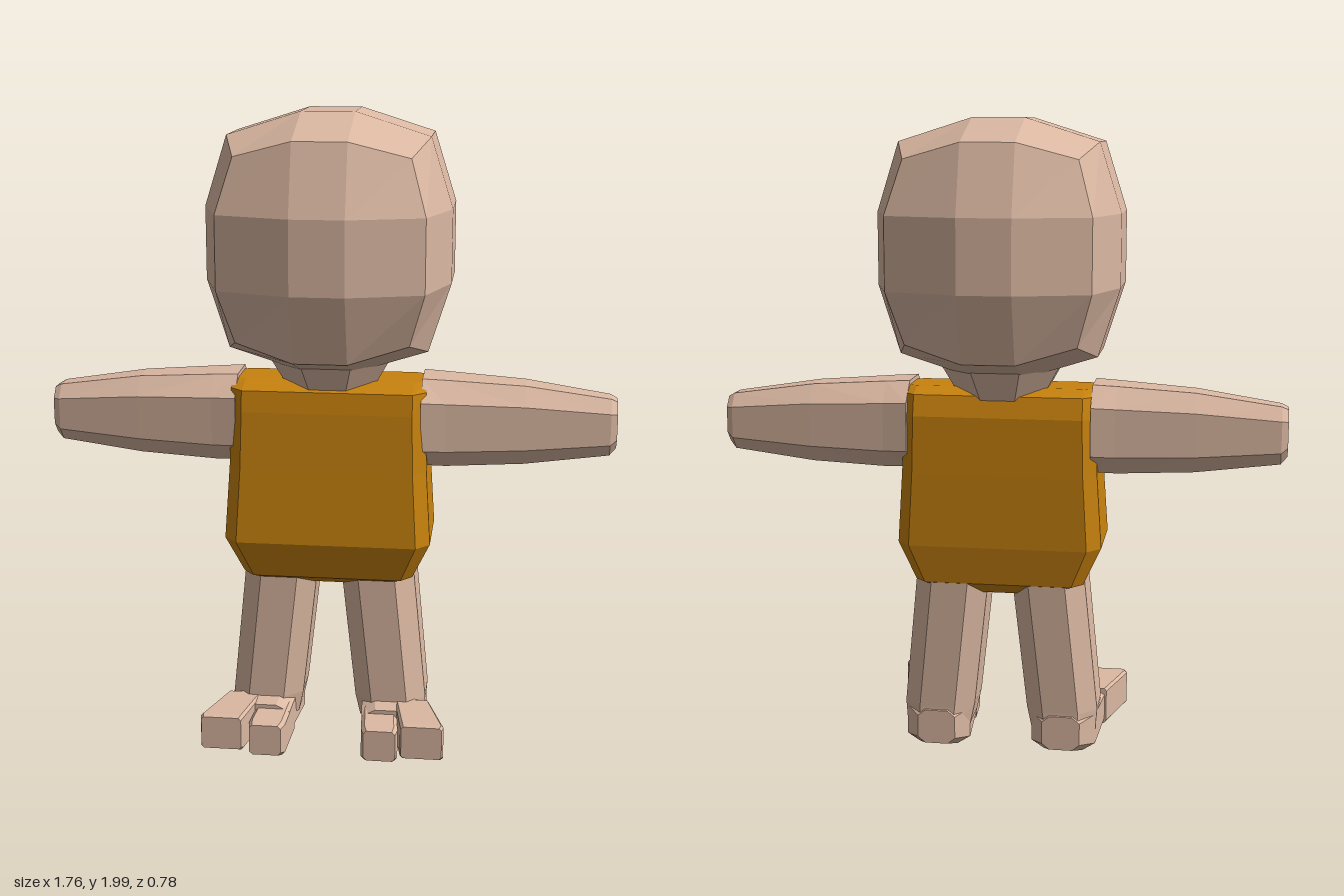
import * as THREE from 'three';

const skin = new THREE.MeshStandardMaterial({ color: 0xdbb8a2, flatShading: true });
const shirt = new THREE.MeshStandardMaterial({ color: 0xc8820e, flatShading: true });

// Lofts chamfered rectangles along an axis. Each ring is [position, u0, u1, v0, v1],
// where (u, v) is (y, z) along x, (z, x) along y and (x, y) along z.
// ku, kv: how much of each side stays straight; side -1 mirrors the part in x.
function loft(axis, rings, ku, kv, side = 1) {
  const place = {
    x: (p, u, v) => [p, u, v],
    y: (p, u, v) => [v, p, u],
    z: (p, u, v) => [u, v, p],
  }[axis];
  const corners = [[1, -kv], [1, kv], [ku, 1], [-ku, 1], [-1, kv], [-1, -kv], [-ku, -1], [ku, -1]];
  const pos = [], index = [];
  const push = (p, u, v) => {
    const [x, y, z] = place(p, u, v);
    pos.push(x * side, y, z);
  };
  const tri = (a, b, c) => (side > 0 ? index.push(a, b, c) : index.push(a, c, b));
  for (const [p, u0, u1, v0, v1] of rings) {
    for (const [a, b] of corners) push(p, (u0 + u1 + a * (u1 - u0)) / 2, (v0 + v1 + b * (v1 - v0)) / 2);
  }
  const n = 8, last = (rings.length - 1) * n;
  for (let r = 0; r < last; r += n) {
    for (let i = 0; i < n; i++) {
      const j = (i + 1) % n;
      tri(r + i, r + j, r + n + j);
      tri(r + i, r + n + j, r + n + i);
    }
  }
  for (let i = 1; i < n - 1; i++) {
    tri(0, i + 1, i);
    tri(last, last + i, last + i + 1);
  }
  const g = new THREE.BufferGeometry();
  g.setAttribute('position', new THREE.Float32BufferAttribute(pos, 3));
  g.setIndex(index);
  const flat = g.toNonIndexed();
  flat.computeVertexNormals();
  return flat;
}

// Cube of 3 x 3 faces per side, rounded by pulling its edges and corners inward
function headGeometry() {
  const g = new THREE.BoxGeometry(2, 2, 2, 3, 3, 3);
  const half = [0.37, 0.39, 0.39], inner = [0.08, 0.11, 0.105];
  const pull = [0, 1, 0.82, 0.695];
  const p = g.attributes.position;
  for (let i = 0; i < p.count; i++) {
    const c = [p.getX(i), p.getY(i), p.getZ(i)];
    const outer = c.filter((v) => Math.abs(v) > 0.9).length;
    const q = c.map((v, k) => Math.sign(v) * (Math.abs(v) > 0.9 ? half[k] * pull[outer] : inner[k]));
    p.setXYZ(i, q[0], q[1] + 1.61, q[2]);
  }
  const flat = g.toNonIndexed();
  flat.computeVertexNormals();
  return flat;
}

export function createModel() {
  const model = new THREE.Group();
  const add = (name, geometry, material = skin, parent = model) => {
    const mesh = new THREE.Mesh(geometry, material);
    mesh.name = name;
    parent.add(mesh);
    return mesh;
  };

  add('head', headGeometry());

  // Neck flares up into the underside of the head
  const neck = add('neck', new THREE.CylinderGeometry(0.2, 0.135, 0.11, 8));
  neck.rotation.y = Math.PI / 8;
  neck.position.y = 1.2;

  add('torso', loft('y', [
    [0.53, -0.08, 0.08, -0.14, 0.14],
    [0.57, -0.13, 0.155, -0.265, 0.265],
    [0.69, -0.145, 0.195, -0.32, 0.32],
    [0.92, -0.145, 0.178, -0.305, 0.305],
    [1.1, -0.143, 0.165, -0.3, 0.3],
    [1.165, -0.125, 0.155, -0.3, 0.3],
    [1.185, -0.07, 0.07, -0.3, 0.3],
  ], 0.72, 0.87), shirt);

  for (const side of [1, -1]) {
    const label = side > 0 ? 'left' : 'right';

    add(label + 'Arm', loft('x', [
      [0.285, 0.925, 1.198, -0.13, 0.142],
      [0.36, 0.922, 1.194, -0.12, 0.13],
      [0.6, 0.932, 1.178, -0.1, 0.1],
      [0.86, 0.962, 1.14, -0.072, 0.066],
      [0.88, 0.985, 1.13, -0.06, 0.055],
    ], 0.55, 0.5, side));

    const leg = new THREE.Group();
    leg.name = label + 'Leg';
    model.add(leg);

    add('shin', loft('y', [
      [0.08, -0.115, 0.135, 0.1, 0.305],
      [0.15, -0.115, 0.14, 0.085, 0.31],
      [0.6, -0.13, 0.135, 0.035, 0.265],
    ], 0.55, 0.5, side), skin, leg);

    add('foot', loft('z', [
      [-0.12, 0.14, 0.26, 0.03, 0.14],
      [-0.06, 0.1, 0.305, 0.01, 0.16],
      [0.13, 0.11, 0.32, 0.03, 0.155],
      [0.19, 0.115, 0.335, 0.02, 0.145],
    ], 0.6, 0.65, side), skin, leg);

    // Two blunt toes that spread outward, the outer one longer
    add('outerToe', loft('z', [
      [0.12, 0.215, 0.325, 0.035, 0.155],
      [0.3, 0.245, 0.38, 0.04, 0.158],
      [0.32, 0.25, 0.375, 0.05, 0.155],
    ], 0.88, 0.85, side), skin, leg);
    add('innerToe', loft('z', [
      [0.12, 0.11, 0.22, 0.02, 0.14],
      [0.26, 0.12, 0.235, 0.008, 0.125],
      [0.29, 0.13, 0.23, 0.02, 0.12],
    ], 0.8, 0.8, side), skin, leg);
  }

  return model;
}
